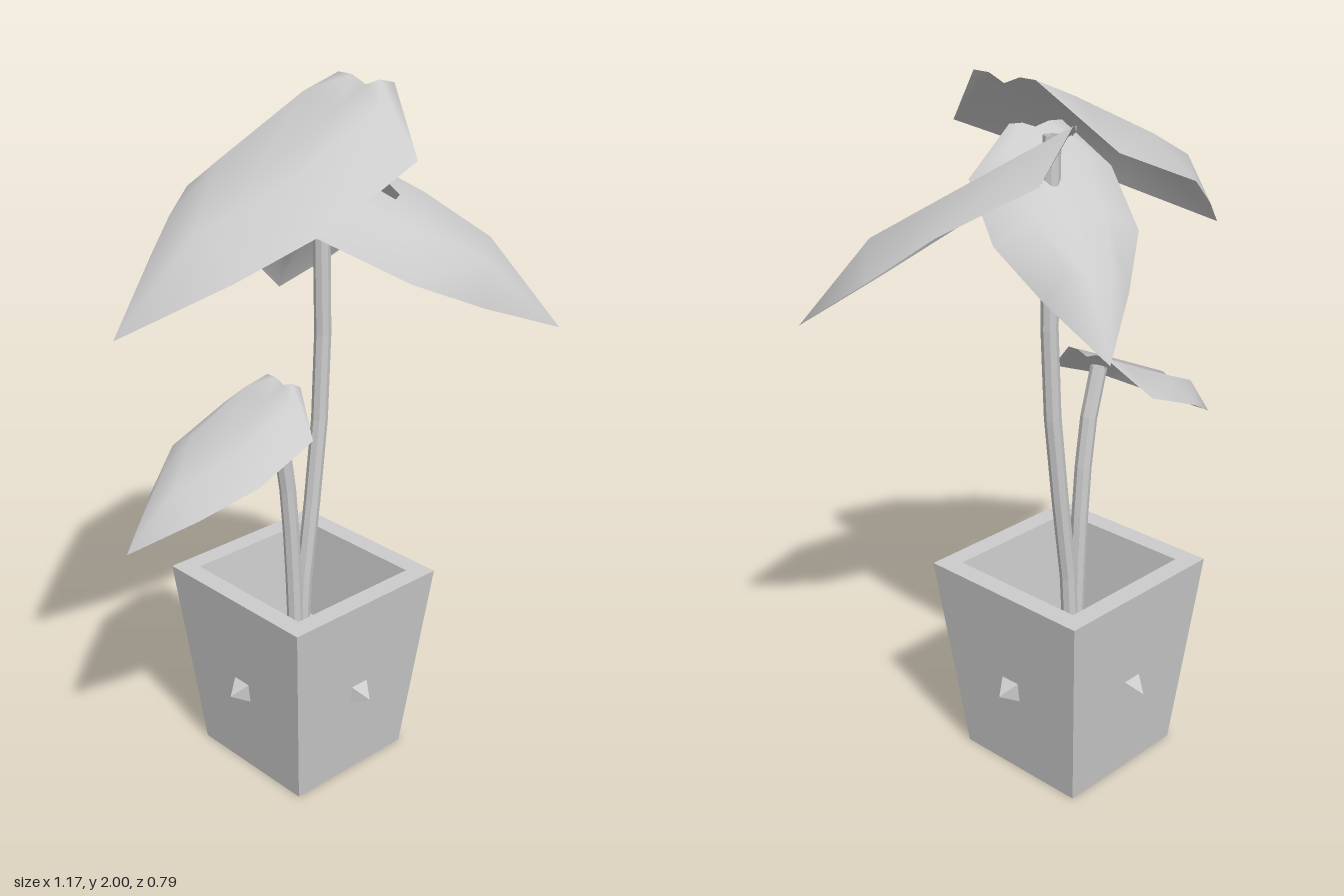
import * as THREE from 'three';

const grey = (extra = {}) => new THREE.MeshStandardMaterial({ color: 0xcccccc, ...extra });
const flat = grey({ flatShading: true, side: THREE.DoubleSide });
const smooth = grey({ side: THREE.DoubleSide });
const CX = 0.04, CZ = -0.06; // pot axis

function mesh(name, geometry, material) {
  const m = new THREE.Mesh(geometry, material);
  m.name = name;
  return m;
}

// Hollow, tapered square pot: a four-sided lathe
function makePot() {
  const profile = [[0, 0], [0.21, 0], [0.273, 0.6], [0.215, 0.6], [0.185, 0.3], [0, 0.3]]
    .map(([r, y]) => new THREE.Vector2(r * Math.SQRT2, y));
  return mesh('pot', new THREE.LatheGeometry(profile, 4, Math.PI / 4), flat);
}

// Pyramid stud on each pot wall, square to the taper
function makeStuds() {
  const studs = new THREE.Group();
  studs.name = 'studs';
  for (let i = 0; i < 4; i++) {
    const geo = new THREE.ConeGeometry(0.045, 0.05, 4, 1, false, Math.PI / 4);
    geo.rotateX(Math.PI / 2 + 0.105);
    geo.translate(0, 0.283, 0.262);
    geo.rotateY(i * Math.PI / 2);
    studs.add(mesh('stud', geo, flat));
  }
  return studs;
}

function makeStem(name, points) {
  const curve = new THREE.CatmullRomCurve3(points.map(([x, y]) => new THREE.Vector3(x, y, CZ)));
  return mesh(name, new THREE.TubeGeometry(curve, 6, 0.024, 8), flat);
}

// Stations from base to tip: distance, half width, edge y, ridge y, midrib y
const STATIONS = [
  [0, 0.105, 0, 0, -0.02],
  [0.095, 0.285, -0.16, -0.045, -0.065],
  [0.39, 0.285, -0.28, -0.18, -0.205],
  [0.61, 0.165, -0.40, -0.28, -0.32],
  [0.86, 0, -0.53, -0.53, -0.53],
];

// Leaf blade with a sunken midrib between two ridges; base at origin, tip on +x
function leafGeometry() {
  const pos = [], index = [];
  for (const [d, w, edge, ridge, mid] of STATIONS) {
    [edge, ridge, mid, ridge, edge].forEach((y, j) => pos.push(d, y, w * (j - 2) / 2));
  }
  for (let i = 0; i < STATIONS.length - 1; i++) {
    for (let j = 0; j < 4; j++) {
      const a = i * 5 + j, b = a + 1, c = a + 5, e = a + 6;
      index.push(a, b, c);
      if (i < STATIONS.length - 2) index.push(b, e, c);
    }
  }
  // the last row is one shared tip
  const tip = (STATIONS.length - 1) * 5;
  const geo = new THREE.BufferGeometry();
  geo.setAttribute('position', new THREE.Float32BufferAttribute(pos.slice(0, (tip + 1) * 3), 3));
  geo.setIndex(index.map(k => Math.min(k, tip)));
  geo.rotateZ(Math.atan2(0.53, 0.86));
  geo.computeVertexNormals();
  return geo;
}

// Place a leaf so its midline runs from base to tip, rolled about that line
function makeLeaf(name, base, tip, roll = 0, widthScale = 1) {
  const from = new THREE.Vector3(...base);
  const dir = new THREE.Vector3(...tip).sub(from);
  const s = dir.length() / Math.hypot(0.86, 0.53);
  const leaf = mesh(name, leafGeometry(), smooth);
  leaf.position.copy(from);
  leaf.scale.set(s, s, s * widthScale);
  leaf.rotation.set(roll, -Math.atan2(dir.z, dir.x), Math.atan2(dir.y, Math.hypot(dir.x, dir.z)), 'YZX');
  return leaf;
}

export function createModel() {
  const plant = new THREE.Group();
  plant.name = 'pottedPlant';

  const planter = new THREE.Group();
  planter.name = 'planter';
  planter.position.set(CX, 0, CZ);
  planter.add(makePot(), makeStuds());

  plant.add(
    planter,
    makeStem('tallStem', [[0.03, 0.3], [0.048, 0.6], [0.085, 0.87], [0.115, 1.2], [0.112, 1.55], [0.105, 1.83]]),
    makeStem('shortStem', [[0.015, 0.3], [0.003, 0.6], [-0.012, 0.82], [-0.035, 1.0], [-0.08, 1.16]]),
    makeLeaf('topLeaf', [0.27, 2.0, CZ], [-0.59, 1.47, CZ]),
    makeLeaf('lowLeaf', [-0.03, 1.215, CZ], [-0.585, 0.875, CZ]),
    makeLeaf('frontLeaf', [0.05, 1.85, -0.09], [0.585, 1.34, 0.395], 0.25, 0.95),
    makeLeaf('backLeaf', [0.05, 1.84, 0.05], [0.255, 1.34, -0.395]),
  );
  return plant;
}
